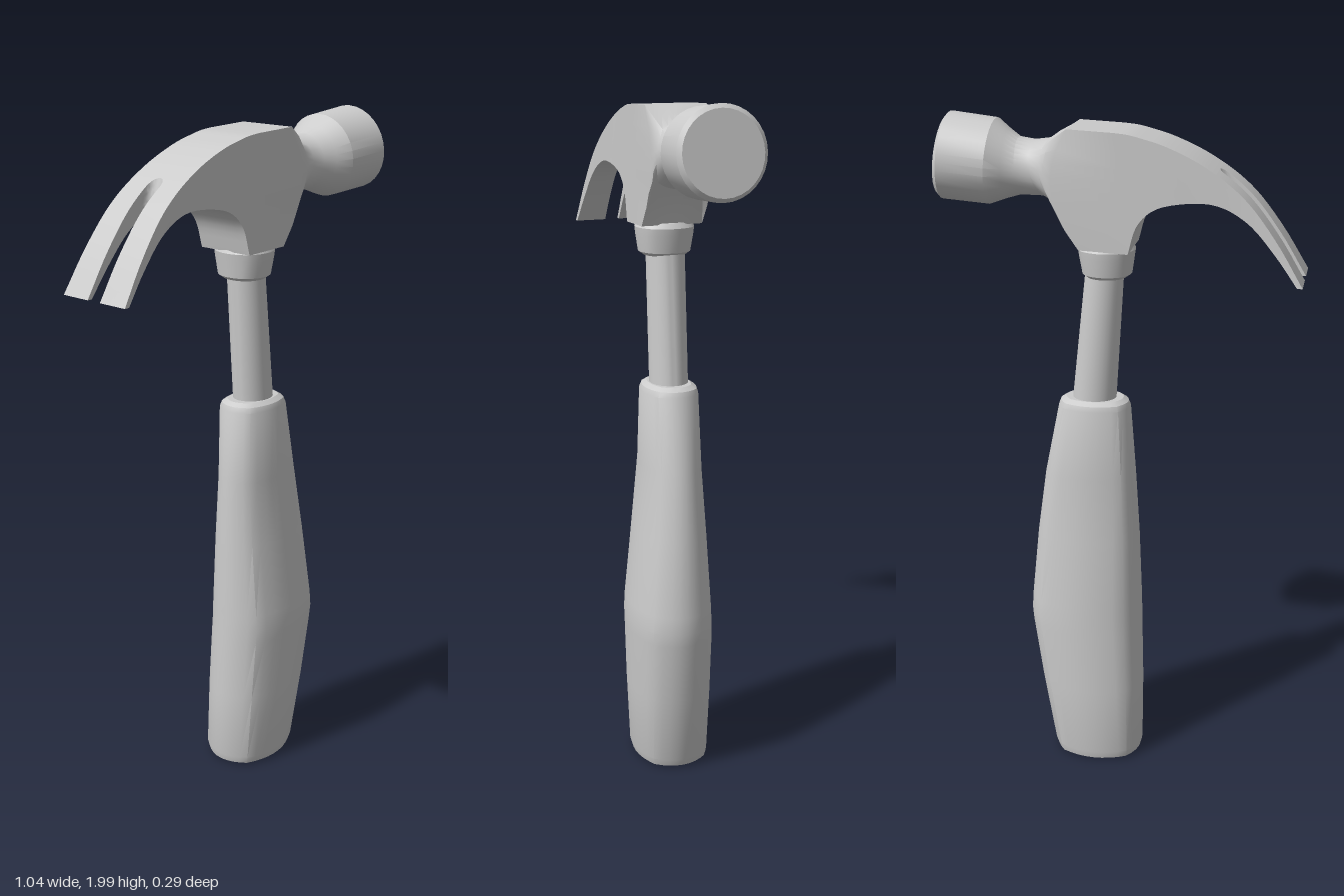
import * as THREE from 'three';
import { toCreasedNormals } from 'three/addons/utils/BufferGeometryUtils.js';

const material = new THREE.MeshStandardMaterial({ color: 0xcccccc });
const RING = 32;

// Section: u and l are the [x, y] ends of its long axis, z0..z1 its width,
// k blends rectangle (0) to ellipse (1), bow pushes the middle along +x.
function ring({ u, l, z0, z1, k, bow = 0 }) {
  const points = [];
  for (let j = 0; j < RING; j++) {
    const a = (j / RING) * Math.PI * 2;
    const c = Math.cos(a), s = Math.sin(a);
    const grow = THREE.MathUtils.lerp(1 / Math.max(Math.abs(c), Math.abs(s)), 1, k);
    const v = s * grow, h = c * grow, f = (v + 1) / 2;
    points.push([
      l[0] + (u[0] - l[0]) * f + bow * (1 - v * v),
      l[1] + (u[1] - l[1]) * f,
      (z0 + z1) / 2 + (h * (z1 - z0)) / 2,
    ]);
  }
  return points;
}

// Closed skin through a list of sections
function loft(name, sections, crease = 0.5) {
  const position = [], index = [];
  sections.forEach((s) => ring(s).forEach((p) => position.push(...p)));
  const last = sections.length - 1;
  for (let i = 0; i < last; i++) {
    for (let j = 0; j < RING; j++) {
      const n = (j + 1) % RING;
      const a = i * RING + j, b = a + RING, c = i * RING + n, d = c + RING;
      index.push(a, b, c, b, d, c);
    }
  }
  // End caps
  [0, last].forEach((i) => {
    const { u, l, z0, z1, bow = 0 } = sections[i];
    const centre = position.length / 3;
    position.push((u[0] + l[0]) / 2 + bow, (u[1] + l[1]) / 2, (z0 + z1) / 2);
    for (let j = 0; j < RING; j++) {
      const a = i * RING + j, b = i * RING + ((j + 1) % RING);
      index.push(centre, ...(i === 0 ? [a, b] : [b, a]));
    }
  });
  const geometry = new THREE.BufferGeometry();
  geometry.setAttribute('position', new THREE.Float32BufferAttribute(position, 3));
  geometry.setIndex(index);
  const mesh = new THREE.Mesh(toCreasedNormals(geometry, crease), material);
  mesh.name = name;
  return mesh;
}

// Upright part from rows of [y, xMin, xMax, zMin, zMax]
const upright = (name, rows, k) =>
  loft(name, rows.map(([y, x0, x1, z0, z1]) => ({ u: [x0, y], l: [x1, y], z0, z1, k })));

const curve = (points) =>
  new THREE.CatmullRomCurve3(points.map(([x, y]) => new THREE.Vector3(x, y, 0)));

function createHead() {
  const head = new THREE.Group();
  head.name = 'head';
  const upper = curve([[-0.525, 1.58], [-0.45, 1.7], [-0.36, 1.81], [-0.25, 1.89],
    [-0.14, 1.94], [-0.08, 1.957], [-0.04, 1.966], [0, 1.97]]);
  const lower = curve([[-0.51, 1.58], [-0.45, 1.66], [-0.37, 1.745], [-0.285, 1.787],
    [-0.19, 1.787], [-0.11, 1.765], [-0.065, 1.72], [-0.04, 1.64]]);
  const middle = (x) => -0.008 + 0.045 * x; // the head is turned slightly
  const clawSection = (t) => {
    const u = upper.getPoint(t), l = lower.getPoint(t);
    const x = (u.x + l.x) / 2;
    const half = 0.09 + 0.026 * Math.pow(Math.max(0, (-0.15 - x) / 0.37), 2);
    return { u: [u.x, u.y], l: [l.x, l.y], x, z0: middle(x) - half, z1: middle(x) + half, k: 0 };
  };

  // Claw prongs on either side of a round-ended slot
  const slotEnd = 0.39, slotX = clawSection(slotEnd).x;
  for (const side of [-1, 1]) {
    const sections = [];
    for (let i = 0; i <= 18; i++) {
      const s = clawSection(slotEnd * (1 - Math.pow(1 - i / 18, 2)));
      const d = Math.min(1, Math.max(0, (slotX - s.x) / 0.025));
      const gap = 0.023 * Math.sqrt(1 - (1 - d) * (1 - d));
      if (side < 0) s.z1 = middle(s.x) - gap;
      else s.z0 = middle(s.x) + gap;
      sections.push(s);
    }
    head.add(loft(side < 0 ? 'backProng' : 'frontProng', sections));
  }

  // Claw root, cheeks, neck and striking face
  const body = [];
  for (let i = 0; i <= 18; i++) body.push(clawSection(slotEnd + ((1 - slotEnd) * i) / 18));
  const front = [ // upper x, y, lower x, y, half width, k, bow
    [0.13, 1.975, 0.1, 1.645, 0.09, 0, 0.06],
    [0.165, 1.957, 0.12, 1.7, 0.088, 0.35, 0.055],
    [0.195, 1.936, 0.155, 1.75, 0.083, 0.75, 0.035],
    [0.24, 1.93, 0.21, 1.776, 0.077, 1, 0.015],
    [0.285, 1.936, 0.28, 1.776, 0.079, 1, 0],
    [0.315, 1.957, 0.32, 1.764, 0.096, 1, 0],
    [0.35, 1.985, 0.37, 1.746, 0.12, 1, 0],
    [0.484, 1.999, 0.508, 1.755, 0.124, 1, 0],
    [0.494, 1.988, 0.52, 1.767, 0.112, 1, 0],
  ];
  for (const [ux, uy, lx, ly, half, k, bow] of front) {
    const z = middle((ux + lx) / 2);
    body.push({ u: [ux, uy], l: [lx, ly], z0: z - half, z1: z + half, k, bow });
  }
  head.add(loft('strikingBody', body));
  return head;
}

export function createModel() {
  const model = new THREE.Group();
  model.name = 'clawHammer';
  model.add(upright('grip', [
    [0.005, -0.055, 0.185, -0.1, 0.085],
    [0.012, -0.068, 0.198, -0.114, 0.1],
    [0.035, -0.074, 0.206, -0.119, 0.107],
    [0.25, -0.074, 0.245, -0.116, 0.121],
    [0.44, -0.069, 0.274, -0.111, 0.13],
    [0.48, -0.068, 0.278, -0.109, 0.132],
    [0.53, -0.067, 0.275, -0.107, 0.129],
    [0.75, -0.06, 0.252, -0.094, 0.104],
    [0.95, -0.049, 0.224, -0.082, 0.083],
    [1.165, -0.033, 0.18, -0.083, 0.077],
    [1.18, -0.027, 0.174, -0.078, 0.071],
    [1.19, -0.012, 0.158, -0.062, 0.056],
  ], 0.85));
  model.add(upright('shaft', [
    [1.15, 0.012, 0.142, -0.058, 0.052],
    [1.62, -0.016, 0.092, -0.06, 0.052],
  ], 1));
  model.add(upright('collar', [
    [1.555, -0.022, 0.092, -0.065, 0.057],
    [1.565, -0.036, 0.106, -0.078, 0.071],
    [1.615, -0.043, 0.115, -0.086, 0.079],
    [1.635, -0.046, 0.118, -0.088, 0.081],
    [1.65, -0.038, 0.108, -0.08, 0.073],
  ], 0.9));
  model.add(createHead());
  return model;
}
